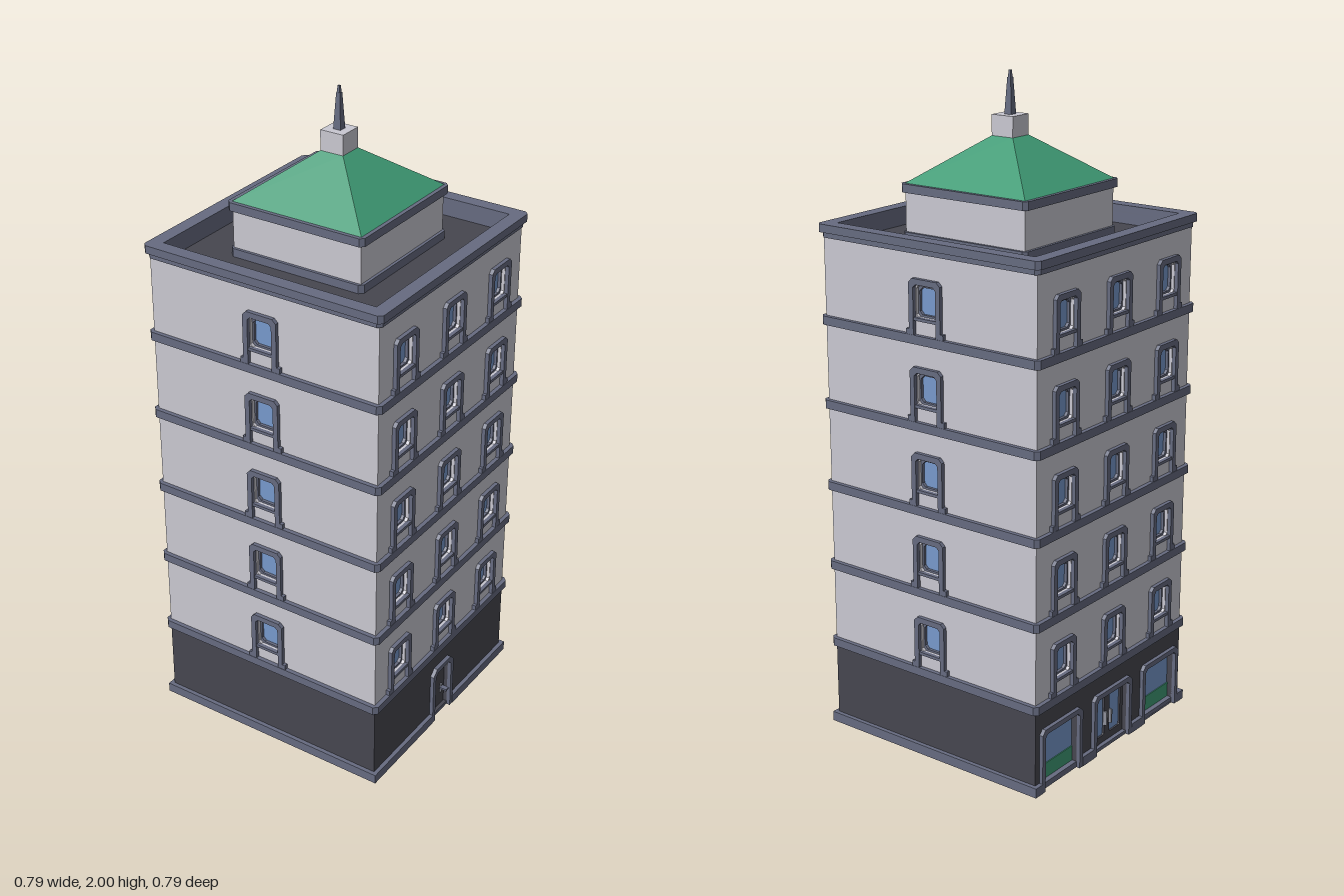
import * as THREE from 'three';

const mat = (name, color) => {
  const m = new THREE.MeshStandardMaterial({ color, flatShading: true });
  m.name = name;
  return m;
};

export function createModel() {
  const wall = mat('pale wall', 0xc9c8d1), trim = mat('slate trim', 0x666b80);
  const dark = mat('charcoal', 0x46464f), green = mat('green roof', 0x3f9a75);
  const glass = mat('blue glass', 0x7799cc), metal = mat('grey metal', 0x8f929c);
  const root = new THREE.Group();
  root.name = 'towerBuilding';

  const add = (parent, name, geo, m, x = 0, y = 0, z = 0) => {
    const o = new THREE.Mesh(geo, m);
    o.name = name;
    o.position.set(x, y, z);
    parent.add(o);
    return o;
  };
  const box = (p, name, m, w, h, d, x, y, z) => add(p, name, new THREE.BoxGeometry(w, h, d), m, x, y, z);
  const extrude = (shape, depth) => new THREE.ExtrudeGeometry(shape, { depth, bevelEnabled: false });
  const poly = (pts, C = THREE.Shape) => new C(pts.map(p => new THREE.Vector2(p[0], p[1])));

  // Rectangle with cut corners; bottom corners stay square when cb = 0
  const cutRect = (x, w, y0, y1, c, cb = c) => {
    const a = [[x - w, y0 + cb], [x - w + cb, y0], [x + w - cb, y0], [x + w, y0 + cb],
      [x + w, y1 - c], [x + w - c, y1], [x - w + c, y1], [x - w, y1 - c]];
    return cb ? a : [a[0], a[3], a[4], a[5], a[6], a[7]];
  };

  // Horizontal band with cut corners, optionally hollow
  const band = (name, m, half, y0, y1, c = 0.012, inner = 0) => {
    const s = poly(cutRect(0, half, -half, half, c));
    if (inner) s.holes.push(poly([[-inner, -inner], [-inner, inner], [inner, inner], [inner, -inner]], THREE.Path));
    const o = add(root, name, extrude(s, y1 - y0), m, 0, y0, 0);
    o.rotation.x = -Math.PI / 2;
    o.position.y = y0;
  };

  // Wall panel on one side, pierced by openings
  const OUT = 0.38, IN = 0.355;
  const panel = (side, name, m, half, y0, y1, holes) => {
    const s = poly([[-half, y0], [half, y0], [half, y1], [-half, y1]]);
    holes.forEach(h => s.holes.push(poly(h, THREE.Path)));
    add(side, name, extrude(s, OUT - IN), m, 0, 0, IN);
  };

  // Surround whose legs run to the ground line, open at the bottom
  const surround = (side, name, x, w, iw, y0, y1, iy1, c) => {
    const outer = cutRect(x, w, y0, y1, c, 0);
    const inner = cutRect(x, iw, y0, iy1, c * 0.7, 0);
    const pts = [outer[1], outer[2], outer[3], outer[4], outer[5], outer[0],
      inner[0], inner[5], inner[4], inner[3], inner[2], inner[1]];
    add(side, name, extrude(poly(pts), 0.014), trim, 0, 0, 0.378);
  };

  const windowHole = (x, y) => cutRect(x, 0.038, y + 0.05, y + 0.14, 0.008);
  const addWindow = (side, x, y) => {
    const g = new THREE.Group();
    g.name = 'window';
    side.add(g);
    surround(g, 'windowSurround', x, 0.056, 0.04, y, y + 0.162, y + 0.145, 0.012);
    for (const s of [-1, 1]) box(g, 'surroundFoot', trim, 0.02, 0.016, 0.014, x + s * 0.056, y + 0.008, 0.385);
    box(g, 'windowSill', trim, 0.08, 0.009, 0.012, x, y + 0.046, 0.384);
    const ring = poly(cutRect(x, 0.0385, y + 0.049, y + 0.141, 0.008));
    ring.holes.push(poly(cutRect(x, 0.033, y + 0.056, y + 0.134, 0.01), THREE.Path));
    add(g, 'windowSash', extrude(ring, 0.012), trim, 0, 0, 0.358);
    box(g, 'windowGlass', glass, 0.074, 0.088, 0.005, x, y + 0.095, 0.3585);
  };

  const floors = [0.285, 0.54, 0.795, 1.05, 1.305];
  // Order: front, left (+x), back, right (-x)
  for (let k = 0; k < 4; k++) {
    const side = new THREE.Group();
    side.name = ['frontSide', 'leftSide', 'backSide', 'rightSide'][k];
    side.rotation.y = k * Math.PI / 2;
    root.add(side);
    const half = k % 2 ? IN : OUT;
    const xs = k % 2 ? [-0.253, 0, 0.253] : [0];

    // Upper floors
    floors.forEach(y => {
      panel(side, 'upperWall', wall, half, y - 0.013, y + 0.243, xs.map(x => windowHole(x, y)));
      xs.forEach(x => addWindow(side, x, y));
    });

    // Ground floor openings
    const openings = k === 1 ? [[0, 0.045]] : k === 3 ? [[-0.26, 0.085], [0, 0.085], [0.26, 0.085]] : [];
    panel(side, 'groundWall', dark, half, 0.005, 0.272,
      openings.map(([x, w]) => cutRect(x, w, 0.012, 0.182, k === 1 ? 0.02 : 0.012, 0)));

    // Plinth strips between the openings
    let start = -0.393;
    [...openings, [0.393 + 0.06, 0.045]].forEach(([x, w]) => {
      const end = x - w - 0.015;
      box(side, 'plinth', trim, end - start, 0.03, 0.02, (start + end) / 2, 0.015, 0.383);
      start = x + w + 0.015;
    });
    openings.forEach(([x, w]) =>
      surround(side, 'entranceSurround', x, w + 0.015, w, 0, 0.198, 0.182, k === 1 ? 0.02 : 0.014));

    if (k === 1) {
      // Single service door
      add(side, 'serviceDoor', extrude(poly(cutRect(0, 0.044, 0.006, 0.178, 0.018, 0)), 0.012), dark, 0, 0, 0.356);
      box(side, 'doorHandlePlate', metal, 0.008, 0.03, 0.006, 0.024, 0.075, 0.37);
      box(side, 'doorHandle', trim, 0.016, 0.007, 0.024, 0.022, 0.08, 0.382);
    }
    if (k === 3) {
      // Shop windows with green lower panels
      for (const x of [-0.26, 0.26]) {
        box(side, 'shopGlass', glass, 0.17, 0.12, 0.005, x, 0.126, 0.3585);
        box(side, 'shopLowerPanel', green, 0.17, 0.052, 0.008, x, 0.04, 0.36);
        box(side, 'shopSill', trim, 0.17, 0.014, 0.024, x, 0.012, 0.368);
      }
      // Glazed double door
      for (const s of [-1, 1]) {
        const leaf = poly(cutRect(s * 0.042, 0.042, 0.006, 0.18, 0.002));
        leaf.holes.push(poly(cutRect(s * 0.042, 0.028, 0.035, 0.165, 0.004), THREE.Path));
        add(side, 'doorLeaf', extrude(leaf, 0.01), dark, 0, 0, 0.357);
        box(side, 'doorGlass', glass, 0.06, 0.135, 0.005, s * 0.042, 0.1, 0.3585);
        box(side, 'doorPull', metal, 0.006, 0.045, 0.012, s * 0.012, 0.09, 0.371);
      }
    }
  }

  // Solid interior, base plate and floor bands
  box(root, 'groundCore', dark, IN * 2, 0.262, IN * 2, 0, 0.139, 0);
  box(root, 'upperCore', wall, IN * 2, 1.24, IN * 2, 0, 0.89, 0);
  box(root, 'basePlate', trim, 0.76, 0.012, 0.76, 0, 0.006, 0);
  floors.forEach(y => band('floorBand', trim, 0.393, y - 0.026, y));

  // Flat roof deck and parapet
  box(root, 'roofDeck', dark, 0.71, 0.012, 0.71, 0, 1.514, 0);
  band('parapetLining', trim, 0.378, 1.51, 1.54, 0.002, 0.352);
  band('parapetMoulding', trim, 0.387, 1.536, 1.552, 0.012, 0.352);
  band('parapetCap', trim, 0.395, 1.552, 1.576, 0.012, 0.352);

  // Rooftop pavilion
  box(root, 'pavilionWall', wall, 0.426, 0.15, 0.426, 0, 1.59, 0);
  band('pavilionFooting', trim, 0.222, 1.518, 1.545);
  band('pavilionEave', trim, 0.226, 1.66, 1.685);
  const taper = (name, m, top, bottom, y0, y1) => {
    const g = new THREE.CylinderGeometry(top * Math.SQRT2, bottom * Math.SQRT2, y1 - y0, 4);
    g.rotateY(Math.PI / 4);
    add(root, name, g, m, 0, (y0 + y1) / 2, 0);
  };
  taper('pavilionRoof', green, 0.037, 0.214, 1.685, 1.816);
  box(root, 'roofFinialBlock', wall, 0.075, 0.064, 0.075, 0, 1.844, 0);
  taper('spire', trim, 0.006, 0.012, 1.876, 1.98);
  taper('spireTip', trim, 0.003, 0.005, 1.98, 2.0);

  return root;
}
